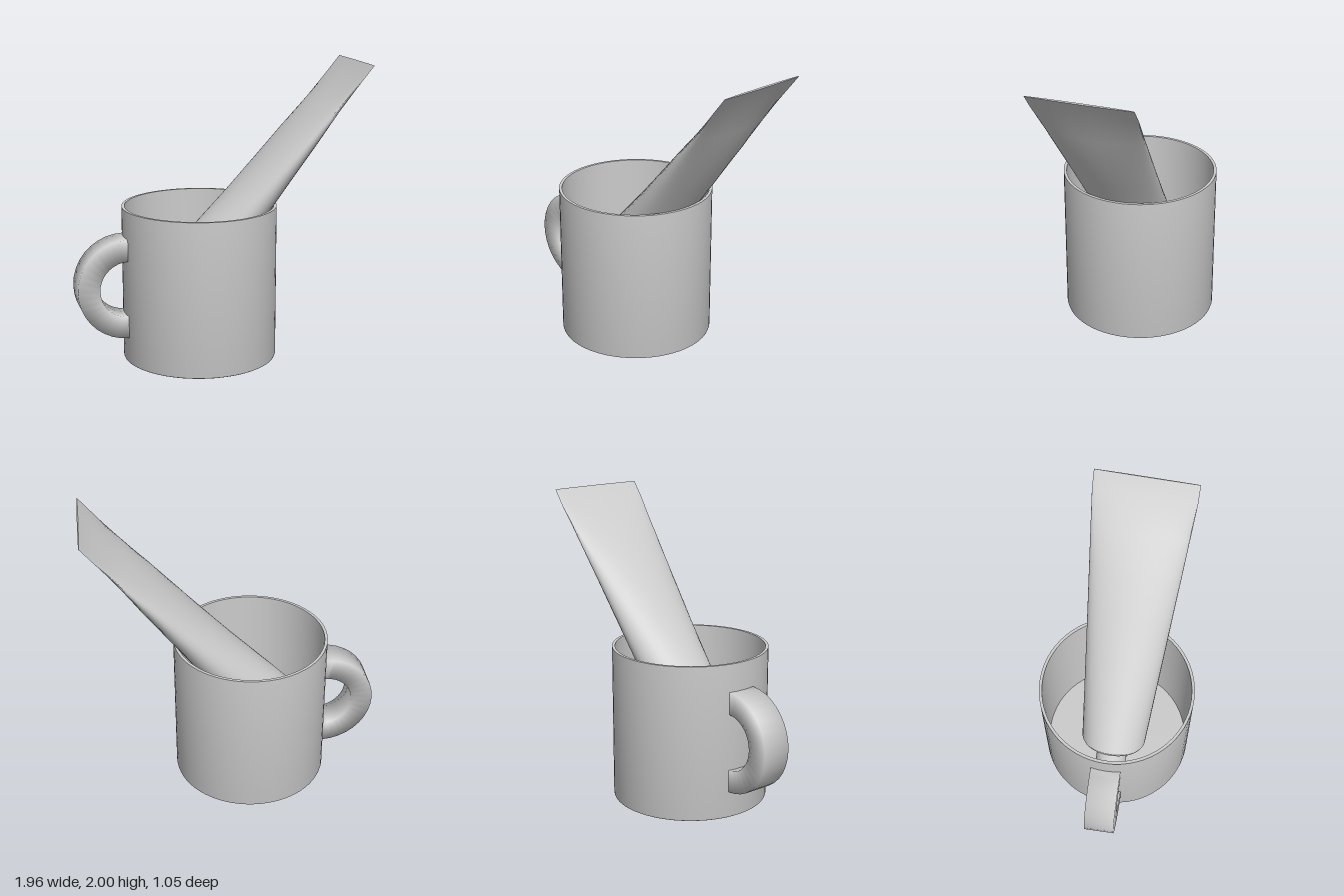
import * as THREE from 'three';
import { toCreasedNormals } from 'three/addons/utils/BufferGeometryUtils.js';

const material = new THREE.MeshStandardMaterial({ color: 0xcccccc, side: THREE.DoubleSide });

function addMesh(parent, name, geometry) {
  const mesh = new THREE.Mesh(geometry, material);
  mesh.name = name;
  parent.add(mesh);
  return mesh;
}

// Skin a list of closed rings, each with the same number of points
function loft(rings) {
  const n = rings[0].length;
  const index = [];
  for (let i = 0; i < rings.length - 1; i++) {
    for (let j = 0; j < n; j++) {
      const a = i * n + j, b = i * n + (j + 1) % n;
      index.push(a, b, a + n, b, b + n, a + n);
    }
  }
  const geometry = new THREE.BufferGeometry().setFromPoints(rings.flat());
  geometry.setIndex(index);
  geometry.computeVertexNormals();
  return geometry;
}

function lathe(profile, segments) {
  const points = profile.map(([r, y]) => new THREE.Vector2(r, y));
  return toCreasedNormals(new THREE.LatheGeometry(points, segments), 0.6);
}

// Curved band with a rectangular section and softened shading
function handleGeometry() {
  const rings = [], steps = 18, radius = 0.267, half = 0.075, width = 0.102;
  for (let i = 0; i <= steps; i++) {
    const angle = Math.PI * (0.5 + i / steps);
    rings.push([[-1, -1], [1, -1], [1, 1], [-1, 1]].map(([side, out]) => {
      const r = radius + out * half;
      return new THREE.Vector3(r * Math.cos(angle), r * Math.sin(angle), side * width);
    }));
  }
  return loft(rings);
}

// Squeeze tube: round at the shoulder, flattening to a wide crimped end
function tubeGeometry() {
  const profile = [ // height, half thickness
    [0, 0.225], [0.2, 0.207], [0.45, 0.179], [0.75, 0.147], [1.05, 0.121],
    [1.35, 0.093], [1.6, 0.053], [1.855, 0.005], [1.987, 0.005], [1.987, 0],
  ];
  const sides = 40;
  const rings = profile.map(([y, thick]) => {
    const wide = 0.225 + 0.117 * Math.min(y / 1.855, 1);
    return Array.from({ length: sides }, (_, j) => {
      const angle = j / sides * Math.PI * 2;
      return new THREE.Vector3(thick * Math.cos(angle), y, -wide * Math.sin(angle));
    });
  });
  return toCreasedNormals(loft(rings), 0.9);
}

export function createModel() {
  const model = new THREE.Group();
  model.name = 'mugWithTube';

  // Mug with a thin wall and a flat rim
  const mug = new THREE.Group();
  mug.name = 'mug';
  mug.position.x = -0.125;
  model.add(mug);
  addMesh(mug, 'mugBody', lathe([
    [0, 0], [0.515, 0], [0.522, 0.004], [0.525, 0.014], [0.525, 1.055],
    [0.505, 1.055], [0.505, 0.03], [0, 0.03],
  ], 64));
  addMesh(mug, 'handle', handleGeometry()).position.set(-0.513, 0.525, 0);

  // Tube leaning on the rim, cap down
  const tube = new THREE.Group();
  tube.name = 'squeezeTube';
  tube.position.set(-0.28, 0.46, 0);
  tube.rotation.set(0, -0.024, -0.684);
  model.add(tube);
  addMesh(tube, 'tubeBody', tubeGeometry());
  addMesh(tube, 'shoulder', lathe([[0.09, -0.07], [0.19, -0.035], [0.215, -0.018], [0.225, 0]], 40));
  addMesh(tube, 'cap', lathe([
    [0, -0.41], [0.105, -0.41], [0.115, -0.4], [0.105, -0.06], [0, -0.06],
  ], 32));

  return model;
}
